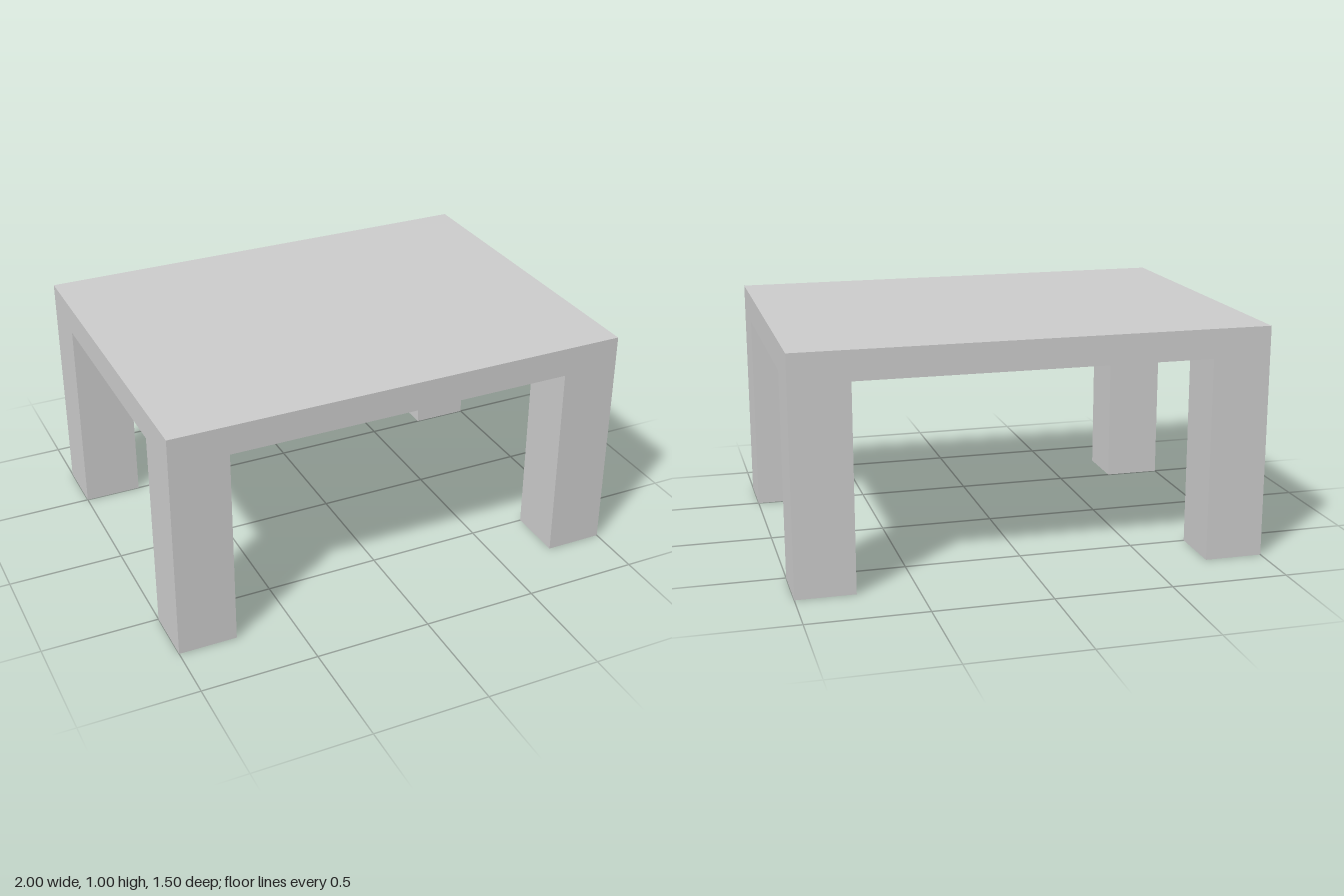
import * as THREE from 'three';

const WIDTH = 2, DEPTH = 1.5, HEIGHT = 1;
const TOP = 0.125; // thickness of the table top
const LEG = 0.25;  // side of a square leg

export function createModel() {
  const table = new THREE.Group();
  table.name = 'table';
  const material = new THREE.MeshStandardMaterial({ color: 0xcccccc, flatShading: true });

  function addBox(name, w, h, d, x, y, z) {
    const mesh = new THREE.Mesh(new THREE.BoxGeometry(w, h, d), material);
    mesh.name = name;
    mesh.position.set(x, y, z);
    table.add(mesh);
  }

  // Slab top
  addBox('tableTop', WIDTH, TOP, DEPTH, 0, HEIGHT - TOP / 2, 0);

  // Four square legs, flush with the corners of the top
  const legHeight = HEIGHT - TOP;
  for (const [zName, sz] of [['front', 1], ['back', -1]]) {
    for (const [xName, sx] of [['Left', 1], ['Right', -1]]) {
      addBox(`${zName}${xName}Leg`, LEG, legHeight, LEG,
        sx * (WIDTH - LEG) / 2, legHeight / 2, sz * (DEPTH - LEG) / 2);
    }
  }
  return table;
}
